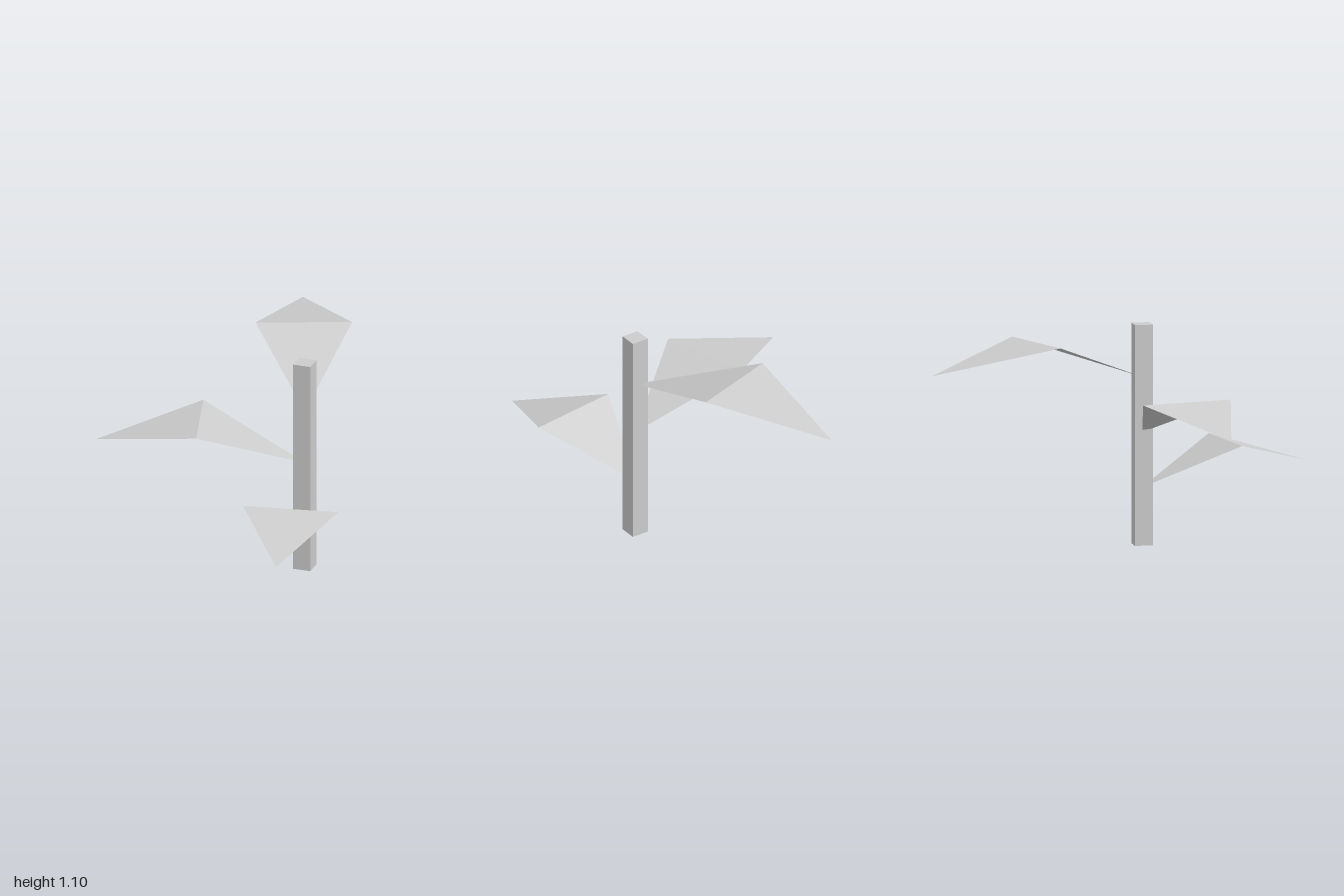
import * as THREE from 'three';

const POST = { x: 0.345, z: 0.13, width: 0.09, height: 1.1 };

// Creased leaf: rises from the post centre to a level fold, then droops to a tip.
// right, left and tip are [x, z] points; foldY is the height of the fold.
function makeLeaf(name, material, foldY, right, left, tip) {
  const base = [POST.x, foldY - 0.215, POST.z];
  const r = [right[0], foldY, right[1]];
  const l = [left[0], foldY, left[1]];
  const t = [tip[0], foldY - 0.125, tip[1]];
  const geometry = new THREE.BufferGeometry();
  const corners = [base, r, l, r, t, l].flat();
  geometry.setAttribute('position', new THREE.Float32BufferAttribute(corners, 3));
  geometry.computeVertexNormals();
  const leaf = new THREE.Mesh(geometry, material);
  leaf.name = name;
  return leaf;
}

export function createModel() {
  const model = new THREE.Group();
  model.name = 'leafyPost';

  const grey = new THREE.MeshStandardMaterial({ color: 0xcccccc, side: THREE.DoubleSide });
  grey.name = 'light grey';

  // Square upright stem
  const stem = new THREE.Mesh(new THREE.BoxGeometry(POST.width, POST.height, POST.width), grey);
  stem.name = 'stem';
  stem.position.set(POST.x, POST.height / 2, POST.z);
  model.add(stem);

  // Three leaves spiralling down the stem, each smaller than the last
  model.add(
    makeLeaf('upperLeaf', grey, 1.05, [0.365, -0.52], [-0.083, -0.358], [-0.06, -1.0]),
    makeLeaf('middleLeaf', grey, 0.775, [-0.22, 0.03], [-0.096, 0.492], [-0.655, 0.392]),
    makeLeaf('lowerLeaf', grey, 0.5, [0.187, 0.602], [0.656, 0.521], [0.495, 0.99])
  );
  return model;
}
